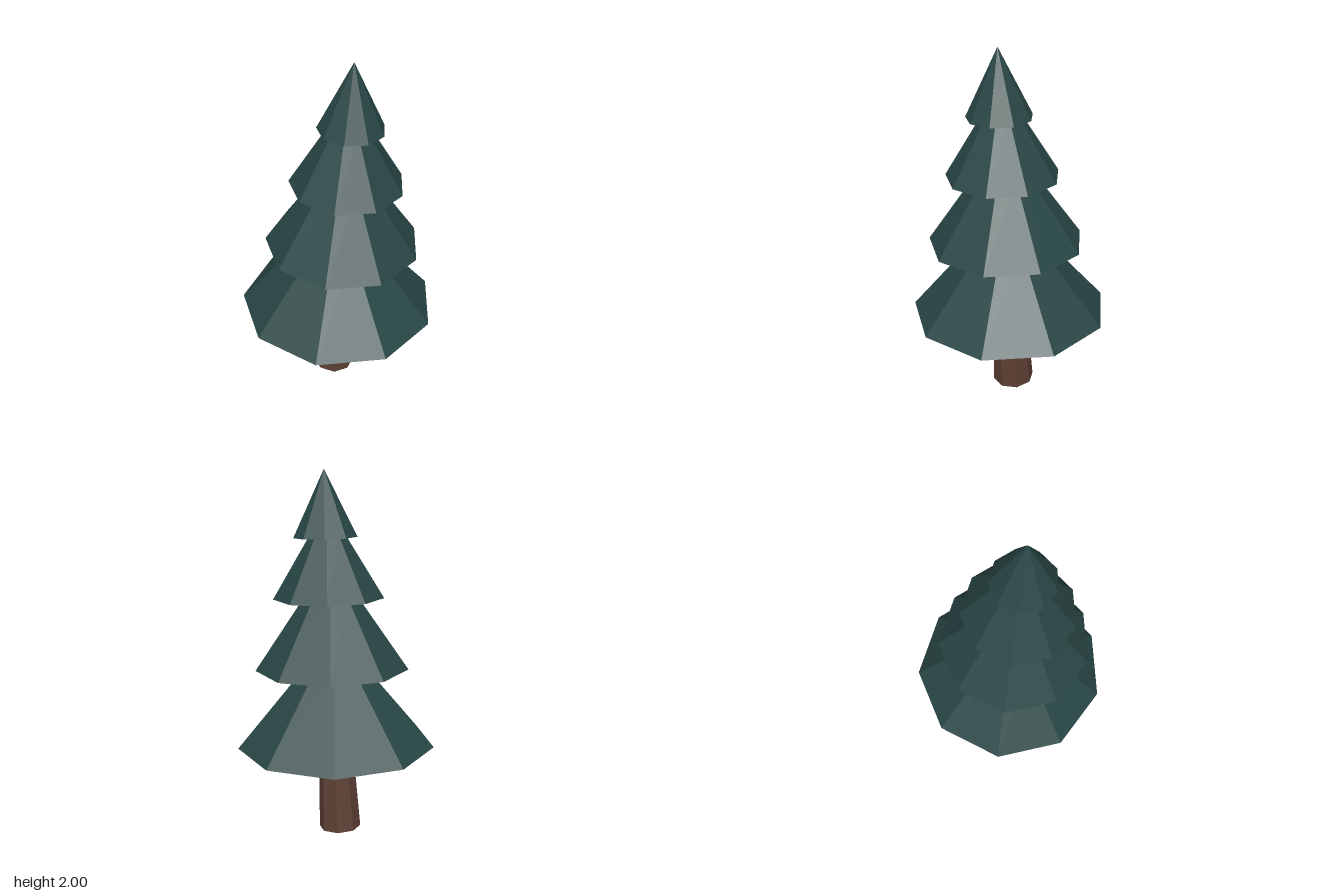
import * as THREE from 'three';

const needles = new THREE.MeshStandardMaterial({ color: 0x284645 });
needles.name = 'darkGreenNeedles';
const bark = new THREE.MeshStandardMaterial({ color: 0x5e4034 });
bark.name = 'brownBark';

// Faceted tapered section running between two centre points [x, y], one corner at -x
function section(name, sides, base, baseRadius, top, topRadius, material) {
  const a = new THREE.Vector3(base[0], base[1], 0);
  const axis = new THREE.Vector3(top[0], top[1], 0).sub(a);
  const height = axis.length();
  const geometry = new THREE.CylinderGeometry(
    topRadius, baseRadius, height, sides, 1, false, -Math.PI / 2
  ).translate(0, height / 2, 0);
  // Unshared corners with face normals keep every facet flat
  const flat = geometry.toNonIndexed();
  flat.computeVertexNormals();
  const mesh = new THREE.Mesh(flat, material);
  mesh.name = name;
  mesh.position.copy(a);
  mesh.quaternion.setFromUnitVectors(new THREE.Vector3(0, 1, 0), axis.normalize());
  return mesh;
}

export function createModel() {
  const tree = new THREE.Group();
  tree.name = 'pineTree';

  // Leaning trunk, its top tucked into the lowest branches
  tree.add(section('trunk', 8, [-0.022, 0.0086], 0.117, [0.018, 0.55], 0.091, bark));

  // Branch tiers from bottom to tip, each pushed into the one above
  const tiers = [
    ['lowestBranches', [0.013, 0.505], 0.547, [0.022, 0.96], 0.156],
    ['lowerBranches', [0.047, 0.937], 0.422, [0.056, 1.345], 0.137],
    ['upperBranches', [0.075, 1.322], 0.303, [0.084, 1.67], 0.09],
    ['treeTip', [0.101, 1.645], 0.174, [0.114, 2.0], 0],
  ];
  for (const [name, base, r0, top, r1] of tiers) {
    tree.add(section(name, 9, base, r0, top, r1, needles));
  }
  return tree;
}
